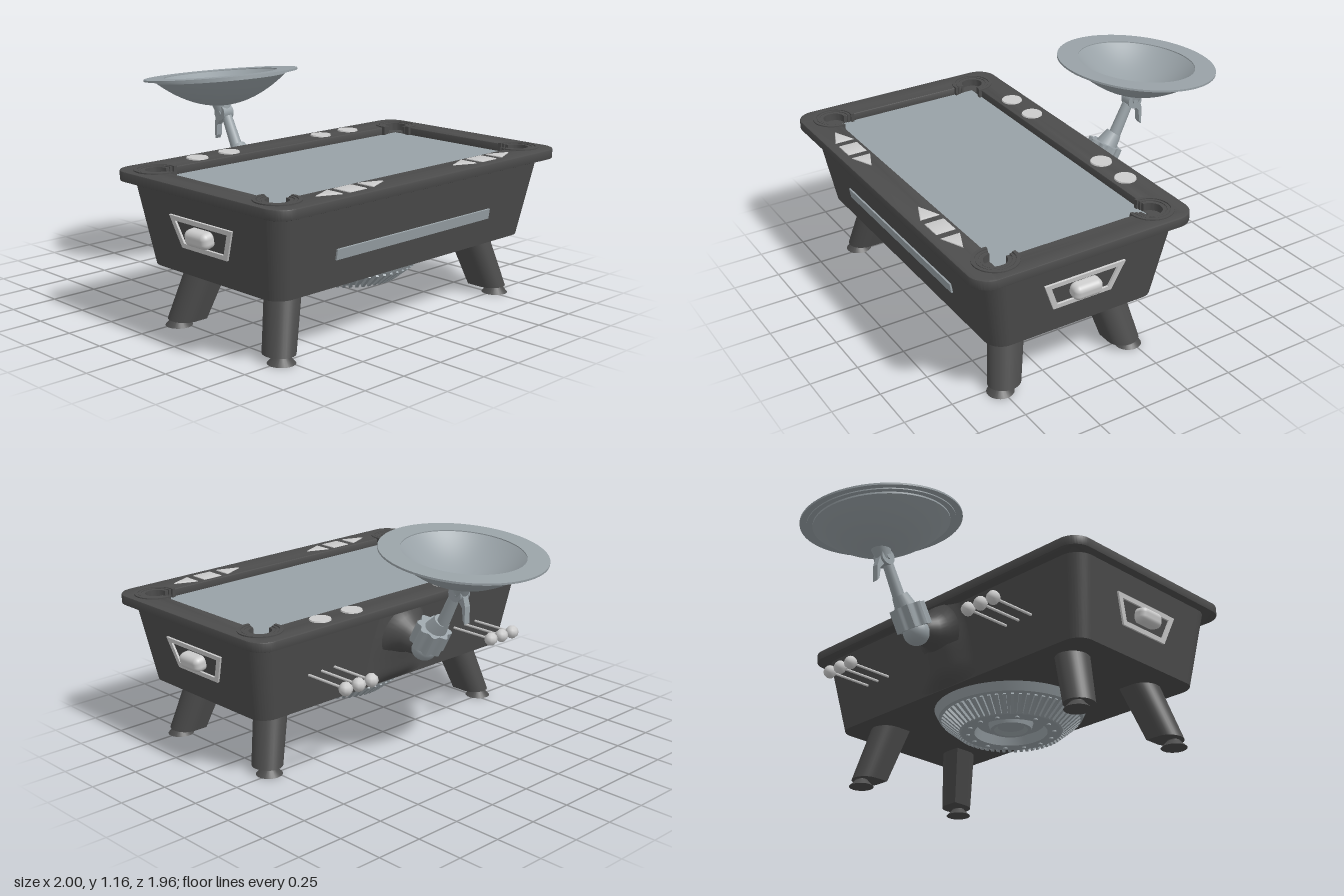
import * as THREE from 'three';
import { toCreasedNormals } from 'three/addons/utils/BufferGeometryUtils.js';
import { RoundedBoxGeometry } from 'three/addons/geometries/RoundedBoxGeometry.js';

const mat = (color) => new THREE.MeshStandardMaterial({ color, side: THREE.DoubleSide });
const ZC = 0.385; // middle of the table in z
const V = (x, y, z) => new THREE.Vector3(x, y, z);

export function createModel() {
  const root = new THREE.Group();
  const dark = mat(0x4c4c4c), slate = mat(0x98a1a6), light = mat(0xcccccc);

  const add = (name, geo, material, x = 0, y = 0, z = 0, parent = root) => {
    const mesh = new THREE.Mesh(geo, material);
    mesh.name = name;
    mesh.position.set(x, y, z);
    parent.add(mesh);
    return mesh;
  };
  // Horizontal slab: shape y becomes -z, extruded upwards
  const slab = (shape, h, bevel = 0) => {
    const g = new THREE.ExtrudeGeometry(shape, {
      depth: h - bevel, bevelEnabled: bevel > 0, bevelSize: bevel, bevelThickness: bevel,
      bevelOffset: -bevel, bevelSegments: 2, curveSegments: 16,
    });
    return toCreasedNormals(g.rotateX(-Math.PI / 2), 0.6);
  };
  const warp = (geo, rule) => {
    const p = geo.attributes.position, v = new THREE.Vector3();
    for (let i = 0; i < p.count; i++) {
      rule(v.fromBufferAttribute(p, i));
      p.setXYZ(i, v.x, v.y, v.z);
    }
    geo.computeVertexNormals();
    return toCreasedNormals(geo, 0.6);
  };
  const roundRect = (hx, hz, r) => {
    const s = new THREE.Shape();
    s.absarc(hx - r, hz - r, r, 0, Math.PI / 2);
    s.absarc(r - hx, hz - r, r, Math.PI / 2, Math.PI);
    s.absarc(r - hx, r - hz, r, Math.PI, Math.PI * 1.5);
    s.absarc(hx - r, r - hz, r, Math.PI * 1.5, Math.PI * 2);
    s.closePath();
    return s;
  };
  const poly = (pts) => new THREE.Shape(pts.map(([x, y]) => new THREE.Vector2(x, y)));
  const lathe = (pts, n = 64) =>
    toCreasedNormals(new THREE.LatheGeometry(pts.map(([x, y]) => new THREE.Vector2(x, y)), n), 0.5);
  const rod = (name, a, b, ra, rb, material, n = 20, geo = null) => {
    const d = b.clone().sub(a);
    const m = add(name, geo || new THREE.CylinderGeometry(rb, ra, d.length(), n), material);
    m.position.copy(a).addScaledVector(d, 0.5);
    m.quaternion.setFromUnitVectors(V(0, 1, 0), d.normalize());
    return m;
  };

  // Tapered cabinet
  add('cabinet', warp(slab(roundRect(0.955, 0.527, 0.1), 0.41), (v) => {
    const t = v.y / 0.41;
    v.x *= 0.927 + 0.073 * t;
    v.z *= 0.87 + 0.13 * t;
  }), dark, 0, 0.325, ZC);

  // Top rim with a playfield opening and round pocket cut-outs
  const hx = 0.855, hz = 0.425, pr = 0.065;
  const rimShape = roundRect(1, 0.594, 0.1), hole = new THREE.Path();
  [[1, 1], [-1, 1], [-1, -1], [1, -1]].forEach(([sx, sz], i) => {
    const start = -Math.PI / 2 + i * Math.PI / 2;
    hole.absarc(sx * hx, sz * hz, pr, start, start + Math.PI * 1.5);
  });
  hole.closePath();
  rimShape.holes.push(hole);
  add('topRim', slab(rimShape, 0.045, 0.006), dark, 0, 0.741, ZC);
  add('playfield', new THREE.BoxGeometry(hx * 2, 0.012, hz * 2), slate, 0, 0.739, ZC);

  // Corner pockets: stepped C-shaped collars, open to the playfield
  for (const sx of [-1, 1]) for (const sz of [-1, 1]) {
    const g = new THREE.Group();
    g.name = 'pocket';
    g.position.set(sx * hx, 0, ZC + sz * hz);
    g.rotation.y = Math.atan2(-sz, sx);
    root.add(g);
    const collar = (r0, r1, h, a) => {
      const s = new THREE.Shape();
      s.absarc(0, 0, r1, -a, a, false);
      s.absarc(0, 0, r0, a, -a, true);
      s.closePath();
      return slab(s, h);
    };
    add('pocketOuterRing', collar(0.095, 0.112, 0.05, 2.5), dark, 0, 0.742, 0, g);
    add('pocketMiddleRing', collar(0.077, 0.09, 0.048, 2.45), dark, 0, 0.742, 0, g);
    add('pocketInnerRing', collar(0.056, 0.071, 0.045, 2.4), dark, 0, 0.742, 0, g);
    add('pocketFloor', collar(0, 0.06, 0.006, 2.356), dark, 0, 0.742, 0, g);
  }

  // Round buttons at the back, arrow and square buttons at the front
  const arrow = poly([[-0.062, -0.052], [0.062, 0], [-0.062, 0.052]]);
  const square = poly([[-0.058, -0.052], [0.058, -0.052], [0.058, 0.052], [-0.058, 0.052]]);
  for (const s of [-1, 1]) {
    for (const x of [0.33, 0.54])
      add('roundButton', new THREE.CylinderGeometry(0.054, 0.058, 0.014, 32), light, s * x, 0.786, -0.115);
    add('squareButton', slab(square, 0.014, 0.008), light, s * 0.47, 0.778, 0.88);
    add('rightArrowButton', slab(arrow, 0.014, 0.008), light, s * 0.47 + 0.16, 0.778, 0.88);
    add('leftArrowButton', slab(arrow, 0.014, 0.008), light, s * 0.47 - 0.16, 0.778, 0.88).rotation.y = Math.PI;
  }

  // Front strip and side handles, lying on the sloping walls
  const wall = (name, x, y, z, turn) => {
    const g = new THREE.Group();
    g.name = name;
    g.position.set(x, y, z);
    g.rotation.set(0.165, turn, 0, 'YXZ');
    root.add(g);
    return g;
  };
  add('frontStrip', new THREE.BoxGeometry(1.1, 0.053, 0.016), slate, 0, 0, 0, wall('front', 0, 0.492, 0.872, 0));
  for (const s of [-1, 1]) {
    const g = wall('sideHandle', s * 0.923, 0.543, ZC, s * Math.PI / 2);
    const frame = poly([[-0.16, -0.078], [0.16, -0.078], [0.222, 0.078], [-0.222, 0.078]]);
    frame.holes.push(poly([[-0.141, -0.054], [-0.184, 0.054], [0.184, 0.054], [0.141, -0.054]]));
    add('handleFrame', new THREE.ExtrudeGeometry(frame, { depth: 0.018, bevelEnabled: false }), light, 0, 0, -0.008, g);
    add('handleGrip', new RoundedBoxGeometry(0.156, 0.08, 0.08, 4, 0.03), light, 0, 0.004, 0.022, g);
  }

  // Splayed legs, round outside and square inside, on flared feet
  for (const sx of [-1, 1]) for (const sz of [-1, 1]) {
    const pts = [];
    for (let i = 0; i < 32; i++) {
      const a = i * Math.PI / 16, c = Math.cos(a), s = Math.sin(a);
      const inner = c * sx < 0.01 && s * sz > -0.01;
      const k = inner ? 1 / Math.max(Math.abs(c), Math.abs(s)) : 1;
      pts.push([c * k, s * k]);
    }
    add('leg', warp(slab(poly(pts), 0.295), (v) => {
      const t = v.y / 0.295;
      v.x = v.x * (0.077 + 0.008 * t) - sx * 0.09 * t;
      v.z = v.z * (0.084 + 0.008 * t) - sz * 0.068 * t;
    }), dark, sx * 0.77, 0.038, ZC + sz * 0.343);
    add('foot', new THREE.CylinderGeometry(0.035, 0.068, 0.034, 24), dark, sx * 0.78, 0.017, ZC + sz * 0.37);
    add('footStem', new THREE.CylinderGeometry(0.035, 0.035, 0.03, 20), dark, sx * 0.78, 0.04, ZC + sz * 0.37);
  }

  // Ribbed drum under the cabinet
  add('drum', lathe([[0, 0.23], [0.07, 0.232], [0.09, 0.215], [0.11, 0.215], [0.12, 0.25], [0.18, 0.25],
    [0.195, 0.2], [0.265, 0.2], [0.28, 0.21], [0.36, 0.275], [0.385, 0.28], [0.41, 0.33]]), slate, 0, 0, ZC);
  for (let i = 0; i < 56; i++) {
    const a = i * Math.PI / 28, c = Math.sin(a), s = Math.cos(a);
    const rib = new THREE.BoxGeometry(0.016, 0.02, 0.115);
    rib.rotateX(-0.68).translate(0, 0.237, 0.322).rotateY(a);
    add('drumRib', rib, slate, 0, 0, ZC);
    if (i % 4 === 0) add('drumStud', new THREE.CylinderGeometry(0.012, 0.012, 0.012, 10), slate, c * 0.23, 0.198, ZC + s * 0.23);
  }

  // Flared swelling on the back wall: depth varies with height and fades sideways
  const bulge = new THREE.CatmullRomCurve3([[0, 0.325], [0.045, 0.38], [0.06, 0.46], [0.075, 0.58], [0.07, 0.66], [0.055, 0.735]]
    .map(([d, y]) => V(d, y, 0)));
  add('backBulge', warp(new THREE.PlaneGeometry(1, 1, 24, 16).rotateY(Math.PI), (v) => {
    const t = v.y + 0.5, q = bulge.getPoint(t), u = v.x * 2;
    const half = 0.26 - 0.09 * t;
    v.set(u * half, q.y, -0.073 - 0.069 * (q.y - 0.325) / 0.41 - q.x * Math.cos(u * Math.PI / 2) ** 2 + 0.002);
  }), dark);
  const horn = add('backHorn', lathe([[0.15, 0], [0.11, 0.03], [0.085, 0.07], [0.075, 0.11], [0.055, 0.135], [0, 0.14]], 32), dark, 0, 0.61, -0.15);
  horn.rotation.x = -Math.PI / 2 - 0.25;

  // Pull pins along the back
  for (const s of [-1, 1]) for (const x of [0.44, 0.525, 0.61]) {
    rod('pinRod', V(s * x, 0.513, -0.09), V(s * x, 0.513, -0.36), 0.007, 0.007, light, 8);
    add('pinHead', new THREE.SphereGeometry(0.036, 8, 6), light, s * x, 0.513, -0.37);
  }

  // Clamp knob, arm, hinge and lever
  const knob = warp(new THREE.CylinderGeometry(0.085, 0.085, 0.12, 64), (v) => {
    const k = 1 + 0.11 * Math.cos(8 * Math.atan2(v.z, v.x));
    v.x *= k;
    v.z *= k;
  });
  rod('clampKnob', V(0, 0.575, -0.315), V(0, 0.685, -0.375), 0, 0, slate, 0, knob);
  add('clampBall', new THREE.SphereGeometry(0.07, 24, 16), slate, 0, 0.56, -0.305);
  rod('clampCollar', V(0, 0.66, -0.37), V(0, 0.73, -0.425), 0.062, 0.042, slate);
  rod('arm', V(0, 0.66, -0.4), V(0, 0.88, -0.51), 0.034, 0.028, slate);
  rod('hinge', V(-0.034, 0.9, -0.535), V(0.034, 0.9, -0.535), 0.042, 0.042, slate);
  rod('hingePin', V(-0.042, 0.9, -0.535), V(0.042, 0.9, -0.535), 0.014, 0.014, slate);
  rod('dishMount', V(0, 0.89, -0.535), V(0, 0.96, -0.56), 0.038, 0.055, slate);
  const lever = poly([[0.52, 0.94], [0.575, 0.9], [0.592, 0.84], [0.59, 0.75], [0.577, 0.77], [0.572, 0.83], [0.54, 0.87]]);
  const leverGeo = new THREE.ExtrudeGeometry(lever, { depth: 0.036, bevelEnabled: false });
  add('lever', leverGeo.rotateY(Math.PI / 2), slate, -0.018, 0, 0);

  // Tilted dish with a broad flat rim
  const profile = [], N = 14;
  for (let i = 0; i <= N; i++) profile.push([0.355 * i / N, -0.175 + 0.15 * (i / N) ** 2]);
  profile.push([0.355, -0.016], [0.385, -0.016], [0.385, -0.01], [0.42, -0.01], [0.42, 0], [0.31, 0]);
  for (let i = N; i >= 0; i--) profile.push([0.31 * i / N, -0.15 + 0.145 * (i / N) ** 2]);
  add('dish', lathe(profile, 72), slate, 0, 1.113, -0.56).rotation.x = -0.115;

  return root;
}
